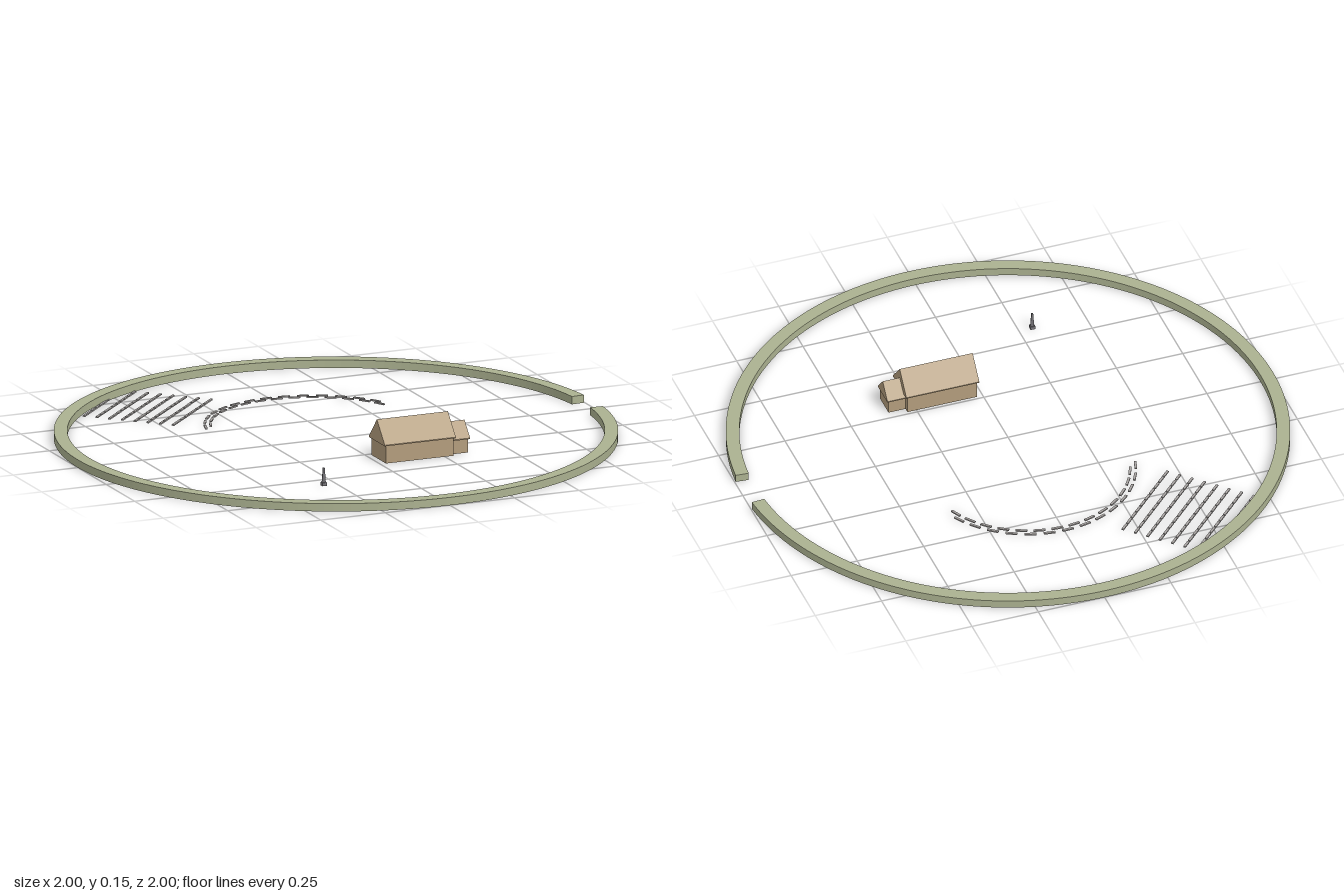
import * as THREE from 'three';

const mat = (name, color) => {
  const m = new THREE.MeshStandardMaterial({ color });
  m.name = name;
  return m;
};

export function createModel() {
  const grass = mat('mossy green', 0xabb190);
  const tan = mat('warm tan', 0xb29c7c);
  const stone = mat('pale stone grey', 0xa8a4a2);
  const dark = mat('dark stone grey', 0x77757a);

  const model = new THREE.Group();
  model.name = 'walledChapelGround';
  const add = (parent, name, geo, material, x = 0, y = 0, z = 0) => {
    const mesh = new THREE.Mesh(geo, material);
    mesh.name = name;
    mesh.position.set(x, y, z);
    parent.add(mesh);
    return mesh;
  };

  // Low circular bank, open at +x
  const gap = 0.084;
  const ring = new THREE.Shape();
  ring.absarc(0, 0, 1, gap, Math.PI * 2 - gap, false);
  ring.absarc(0, 0, 0.952, Math.PI * 2 - gap, gap, true);
  ring.closePath();
  const bank = new THREE.ExtrudeGeometry(ring, { depth: 0.029, bevelEnabled: false, curveSegments: 96 });
  bank.rotateX(-Math.PI / 2);
  add(model, 'ringBank', bank, grass);

  // Outline across z and y, run along x
  const alongX = (points, x0, x1) => {
    const shape = new THREE.Shape(points.map(p => new THREE.Vector2(...p)));
    const geo = new THREE.ExtrudeGeometry(shape, { depth: x1 - x0, bevelEnabled: false });
    geo.rotateY(Math.PI / 2);
    geo.translate(x0, 0, 0);
    return geo;
  };

  // Box walls under a solid gabled roof
  const gabled = (name, [wall0, wall1], [roof0, roof1], wall, half, eave, peak) => {
    const house = new THREE.Group();
    house.name = name;
    house.position.z = 0.325;
    model.add(house);
    add(house, name + 'Walls', alongX(
      [[-wall, 0], [wall, 0], [wall, eave], [-wall, eave]], wall0, wall1), tan);
    add(house, name + 'Roof', alongX(
      [[-half, eave], [half, eave], [half, eave + 0.004], [0, peak], [-half, eave + 0.004]], roof0, roof1), tan);
  };
  gabled('nave', [0.022, 0.284], [0.015, 0.29], 0.064, 0.07, 0.065, 0.147);
  gabled('porch', [0.28, 0.348], [0.285, 0.354], 0.044, 0.05, 0.05, 0.109);

  // Standing monument
  const monument = new THREE.Group();
  monument.name = 'monument';
  monument.position.set(-0.3, 0, 0.573);
  model.add(monument);
  add(monument, 'monumentBase', new THREE.BoxGeometry(0.018, 0.012, 0.018), dark, 0, 0.006, 0);
  const shaft = new THREE.CylinderGeometry(0.004, 0.008, 0.054, 4);
  shaft.rotateY(Math.PI / 4);
  add(monument, 'monumentShaft', shaft, dark, 0, 0.038, 0);

  // Straight rows of low slabs on the diagonal
  const rowSlab = new THREE.BoxGeometry(0.034, 0.005, 0.009);
  const rows = new THREE.Group();
  rows.name = 'slabRows';
  model.add(rows);
  for (let r = 0; r < 8; r++) {
    for (let i = 0; i < 10; i++) {
      const along = (i + 0.5) * 0.027;
      const m = add(rows, 'rowSlab', rowSlab, stone,
        -0.703 + r * 0.0342 + along, 0.0025, -0.622 + r * 0.0342 - along);
      m.rotation.y = Math.PI / 4;
    }
  }

  // Curved line of slabs, stepping in and out
  const curveSlab = new THREE.BoxGeometry(0.042, 0.005, 0.009);
  const curve = new THREE.Group();
  curve.name = 'curvedRow';
  model.add(curve);
  for (let i = 0; i < 28; i++) {
    const a = THREE.MathUtils.degToRad(26 + i * 5.08);
    const radius = i % 2 ? 0.384 : 0.364;
    const m = add(curve, 'curvedSlab', curveSlab, stone,
      Math.cos(a) * radius, 0.0025, -0.2 - Math.sin(a) * radius);
    m.rotation.y = a + Math.PI / 2;
  }

  return model;
}
